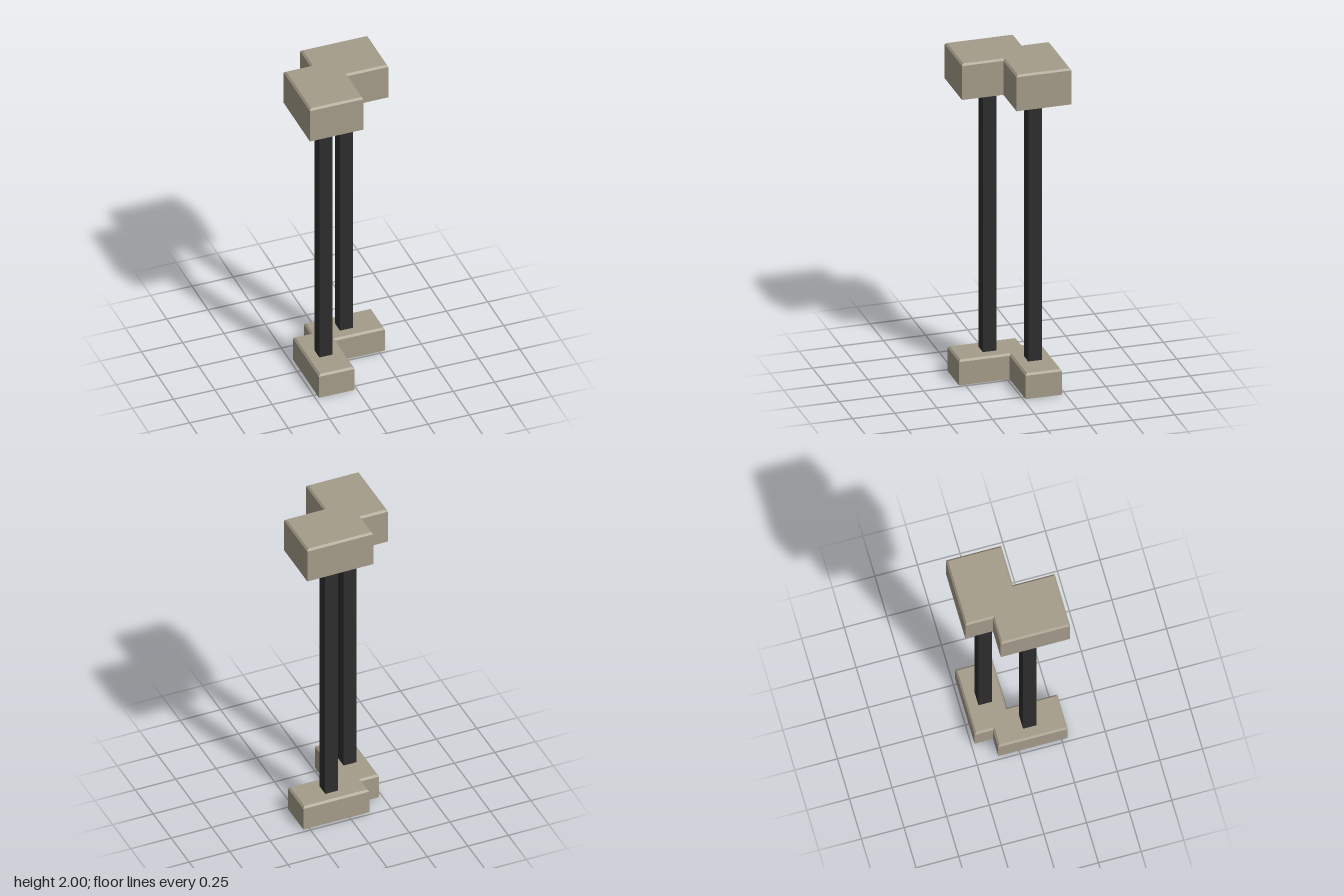
import * as THREE from 'three';

// Stepped slab: an [x, z] outline raised from y0 to y1 with a small chamfer on its top edge
function chamferedSlab(outline, y0, y1, chamfer) {
  const n = outline.length;
  const unit = (a, b) => {
    const dx = b[0] - a[0], dz = b[1] - a[1], l = Math.hypot(dx, dz);
    return [-dz / l, dx / l]; // inward normal of an edge
  };
  const inset = outline.map((p, i) => {
    const u = unit(outline[(i + n - 1) % n], p), v = unit(p, outline[(i + 1) % n]);
    return [p[0] + chamfer * (u[0] + v[0]), p[1] + chamfer * (u[1] + v[1])];
  });
  const at = (pts, y) => pts.map(([x, z]) => [x, y, z]);
  const rings = [at(outline, y0), at(outline, y1 - chamfer), at(inset, y1)];
  const pos = [];
  const tri = (a, b, c) => pos.push(...a, ...b, ...c);

  // walls and chamfer strip
  for (let r = 0; r < 2; r++) {
    for (let i = 0; i < n; i++) {
      const j = (i + 1) % n;
      tri(rings[r][i], rings[r + 1][i], rings[r + 1][j]);
      tri(rings[r][i], rings[r + 1][j], rings[r][j]);
    }
  }
  // underside and top
  const faces = THREE.ShapeUtils.triangulateShape(outline.map(([x, z]) => new THREE.Vector2(x, z)), []);
  for (const [a, b, c] of faces) {
    tri(rings[0][a], rings[0][b], rings[0][c]);
    tri(rings[2][c], rings[2][b], rings[2][a]);
  }
  const geo = new THREE.BufferGeometry();
  geo.setAttribute('position', new THREE.Float32BufferAttribute(pos, 3));
  geo.computeVertexNormals();
  return geo;
}

// Two overlapping blocks set diagonally: lo/hi outer limits, back and front notch corners
function steppedOutline(lo, hi, backNotch, frontNotch) {
  return [
    [lo, backNotch], [backNotch, backNotch], [backNotch, lo], [hi, lo],
    [hi, frontNotch], [frontNotch, frontNotch], [frontNotch, hi], [lo, hi],
  ];
}

export function createModel() {
  const group = new THREE.Group();
  const stone = new THREE.MeshStandardMaterial({ color: 0xa59c8a });
  stone.name = 'warm grey stone';
  const dark = new THREE.MeshStandardMaterial({ color: 0x2d2d2d });
  dark.name = 'charcoal';

  const add = (name, geo, mat) => {
    const mesh = new THREE.Mesh(geo, mat);
    mesh.name = name;
    group.add(mesh);
    return mesh;
  };

  // base and top slabs
  const baseTop = 0.155, capBottom = 1.78;
  add('base', chamferedSlab(steppedOutline(-0.23, 0.285, -0.122, -0.014), 0, baseTop, 0.011), stone);
  add('topSlab', chamferedSlab(steppedOutline(-0.285, 0.285, -0.123, 0.04), capBottom, 2, 0.011), stone);

  // two square posts on the diagonal
  const size = 0.08, y0 = baseTop - 0.01, y1 = capBottom + 0.01;
  for (const [name, x, z] of [['frontPost', -0.124, 0.082], ['backPost', 0.08, -0.122]]) {
    add(name, new THREE.BoxGeometry(size, y1 - y0, size), dark).position.set(x, (y0 + y1) / 2, z);
  }
  return group;
}
